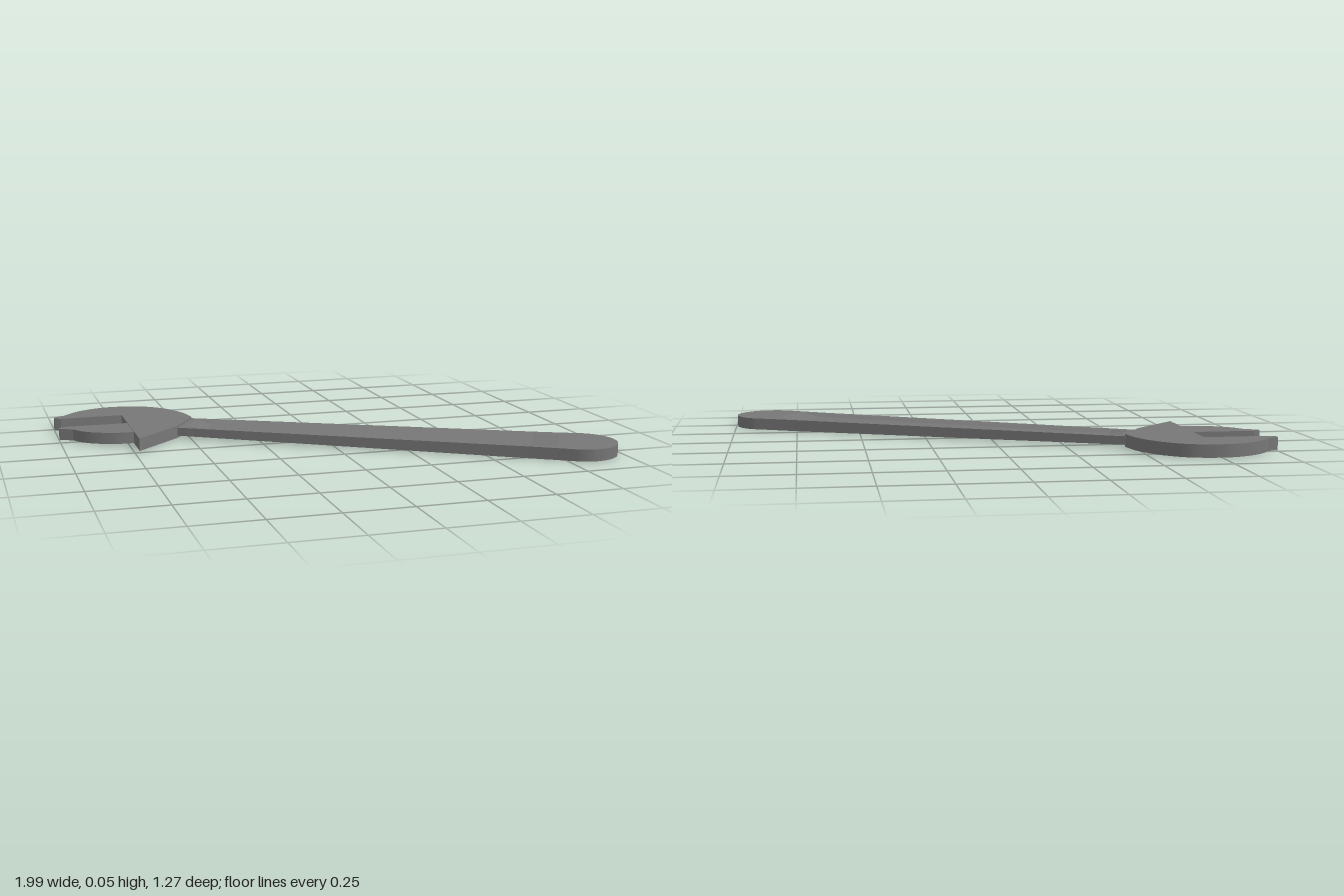
import * as THREE from 'three';

const material = new THREE.MeshStandardMaterial({ color: 0x777777, flatShading: true, side: THREE.DoubleSide });

// Plan-view points [x, z]
const toVectors = (points) => points.map(([x, z]) => new THREE.Vector2(x, -z));

// Flat plate from a plan shape, lying between two heights
function plate(name, shape, bottom, top) {
  const geometry = new THREE.ExtrudeGeometry(shape, { depth: top - bottom, bevelEnabled: false, curveSegments: 28 });
  geometry.rotateX(-Math.PI / 2).translate(0, bottom, 0);
  const mesh = new THREE.Mesh(geometry, material);
  mesh.name = name;
  return mesh;
}

// Rounded fixed jaw with the pointed shoulder that guides the sliding jaw
function fixedJaw() {
  const shape = new THREE.Shape();
  shape.moveTo(-0.73, 0.46);
  shape.lineTo(-0.975, 0.46);
  shape.lineTo(-1, 0.47);
  shape.lineTo(-1, 0.493);
  shape.lineTo(-0.955, 0.517);
  shape.splineThru(toVectors([[-0.92, -0.56], [-0.87, -0.6], [-0.8, -0.63], [-0.73, -0.637], [-0.64, -0.62],
    [-0.57, -0.575], [-0.52, -0.515], [-0.48, -0.43], [-0.463, -0.34]]));
  shape.lineTo(-0.55, 0.19);
  shape.lineTo(-0.73, 0.01);
  return plate('fixedJaw', shape, 0.004, 0.052);
}

// Sliding jaw with a curved outer side
function slidingJaw() {
  const shape = new THREE.Shape();
  shape.moveTo(-0.73, 0.31);
  shape.lineTo(-0.73, 0.14);
  shape.splineThru(toVectors([[-0.8, -0.145], [-0.87, -0.172], [-0.92, -0.21], [-0.95, -0.255]]));
  shape.lineTo(-1, 0.28);
  shape.lineTo(-1, 0.297);
  shape.lineTo(-0.975, 0.31);
  return plate('slidingJaw', shape, 0.006, 0.05);
}

// Tapered handle lofted from cross-sections, recessed on both faces
function handle() {
  const length = 1.56, radius = 0.14, recess = 0.013;
  // Stations: [distance along the handle, half width, recess depth]
  const stations = [[0, 0.092, 0], [0.03, 0.093, 0], [0.1, 0.095, recess], [1.38, 0.129, recess], [1.48, 0.134, 0]];
  for (let i = 0; i <= 16; i++) {
    const a = (i / 16) * Math.PI / 2;
    stations.push([length + radius * Math.sin(a), Math.max(radius * Math.cos(a), 0.0005), 0]);
  }
  const positions = [], indices = [];
  for (const [u, w, depth] of stations) {
    const top = 0.045, bottom = 0.013 * Math.max(0, 1 - u / 1.3);
    const rim = Math.max(w - 0.024, w * 0.75), floor = Math.max(w - 0.046, w * 0.5);
    const section = [
      [-w, top], [-rim, top], [-floor, top - depth], [floor, top - depth], [rim, top], [w, top],
      [w, bottom], [rim, bottom], [floor, bottom + depth * 0.7], [-floor, bottom + depth * 0.7], [-rim, bottom], [-w, bottom],
    ];
    for (const [v, y] of section) positions.push(u, y, v);
  }
  const n = 12;
  for (let s = 0; s < stations.length - 1; s++) {
    for (let k = 0; k < n; k++) {
      const a = s * n + k, b = s * n + (k + 1) % n, c = a + n, d = b + n;
      indices.push(a, b, d, a, d, c);
    }
  }
  // End cap against the head
  for (let k = 1; k < n - 1; k++) indices.push(0, k + 1, k);
  const geometry = new THREE.BufferGeometry();
  geometry.setAttribute('position', new THREE.Float32BufferAttribute(positions, 3));
  geometry.setIndex(indices);
  geometry.computeVertexNormals();
  const mesh = new THREE.Mesh(geometry, material);
  mesh.name = 'handle';
  mesh.position.set(-0.508, 0, -0.27);
  mesh.rotation.y = -Math.atan2(0.76, 1.365);
  return mesh;
}

export function createModel() {
  const group = new THREE.Group();
  group.name = 'adjustableWrench';
  group.add(fixedJaw(), slidingJaw(), handle());
  return group;
}
